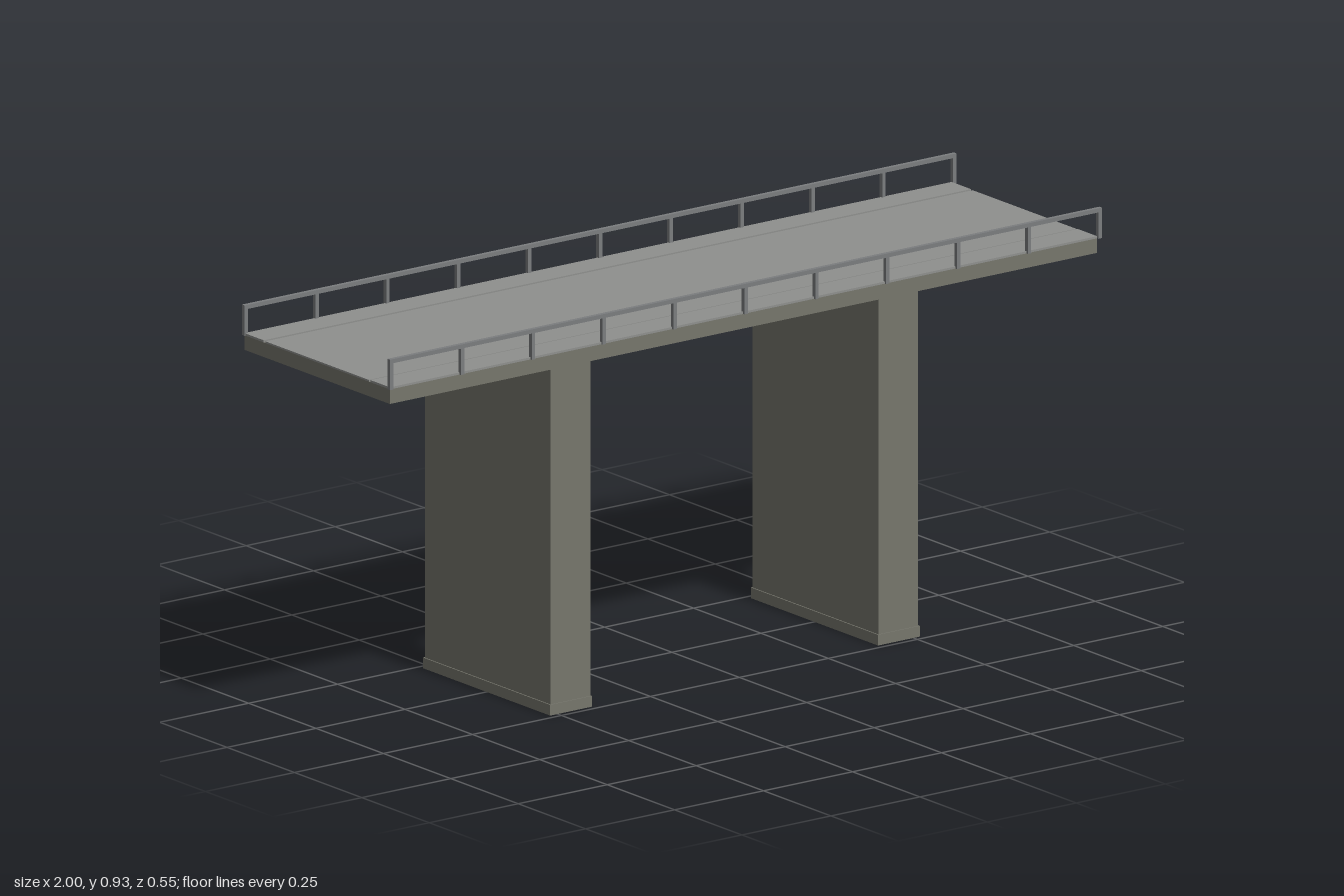
import * as THREE from 'three';

const material = (name, color) => {
  const m = new THREE.MeshStandardMaterial({ color });
  m.name = name;
  return m;
};

export function createModel() {
  const model = new THREE.Group();
  model.name = 'bridge';
  const concrete = material('concrete', 0x76766c);
  const paving = material('paving', 0x8f908e);
  const metal = material('railing metal', 0x7b7d7f);

  // Box given by its lower and upper limits on each axis
  const block = (name, mat, [x0, x1], [y0, y1], [z0, z1], parent = model) => {
    const mesh = new THREE.Mesh(new THREE.BoxGeometry(x1 - x0, y1 - y0, z1 - z0), mat);
    mesh.position.set((x0 + x1) / 2, (y0 + y1) / 2, (z0 + z1) / 2);
    mesh.name = name;
    parent.add(mesh);
    return mesh;
  };

  // Deck slab and raised roadway
  const length = [-0.997, 0.99];
  block('deck', concrete, length, [0.82, 0.854], [-0.27, 0.27]);
  block('roadway', paving, length, [0.854, 0.858], [-0.192, 0.192]);

  // Wall piers on slightly wider footings
  for (const [side, x] of [['right', -0.462], ['left', 0.459]]) {
    const pier = new THREE.Group();
    pier.name = side + 'Pier';
    block('pierWall', concrete, [x - 0.056, x + 0.056], [0.025, 0.82], [-0.233, 0.233], pier);
    block('pierFooting', concrete, [x - 0.059, x + 0.059], [0, 0.025], [-0.236, 0.236], pier);
    model.add(pier);
  }

  // Pavements and railings along both edges, leaving a narrow gutter beside the road
  const bar = 0.0095;
  for (const [side, s] of [['front', 1], ['back', -1]]) {
    const span = (a, b) => (s > 0 ? [a, b] : [-b, -a]);
    block(side + 'Pavement', paving, length, [0.854, 0.859], span(0.198, 0.27));

    const railing = new THREE.Group();
    railing.name = side + 'Railing';
    const depth = span(0.265, 0.275);
    block('topRail', metal, [-1, 1], [0.925 - bar, 0.925], depth, railing);
    const posts = 11;
    for (let i = 0; i < posts; i++) {
      const x = -1 + bar / 2 + (i * (2 - bar)) / (posts - 1);
      block('post', metal, [x - bar / 2, x + bar / 2], [0.854, 0.925 - bar], depth, railing);
    }
    model.add(railing);
  }
  return model;
}
